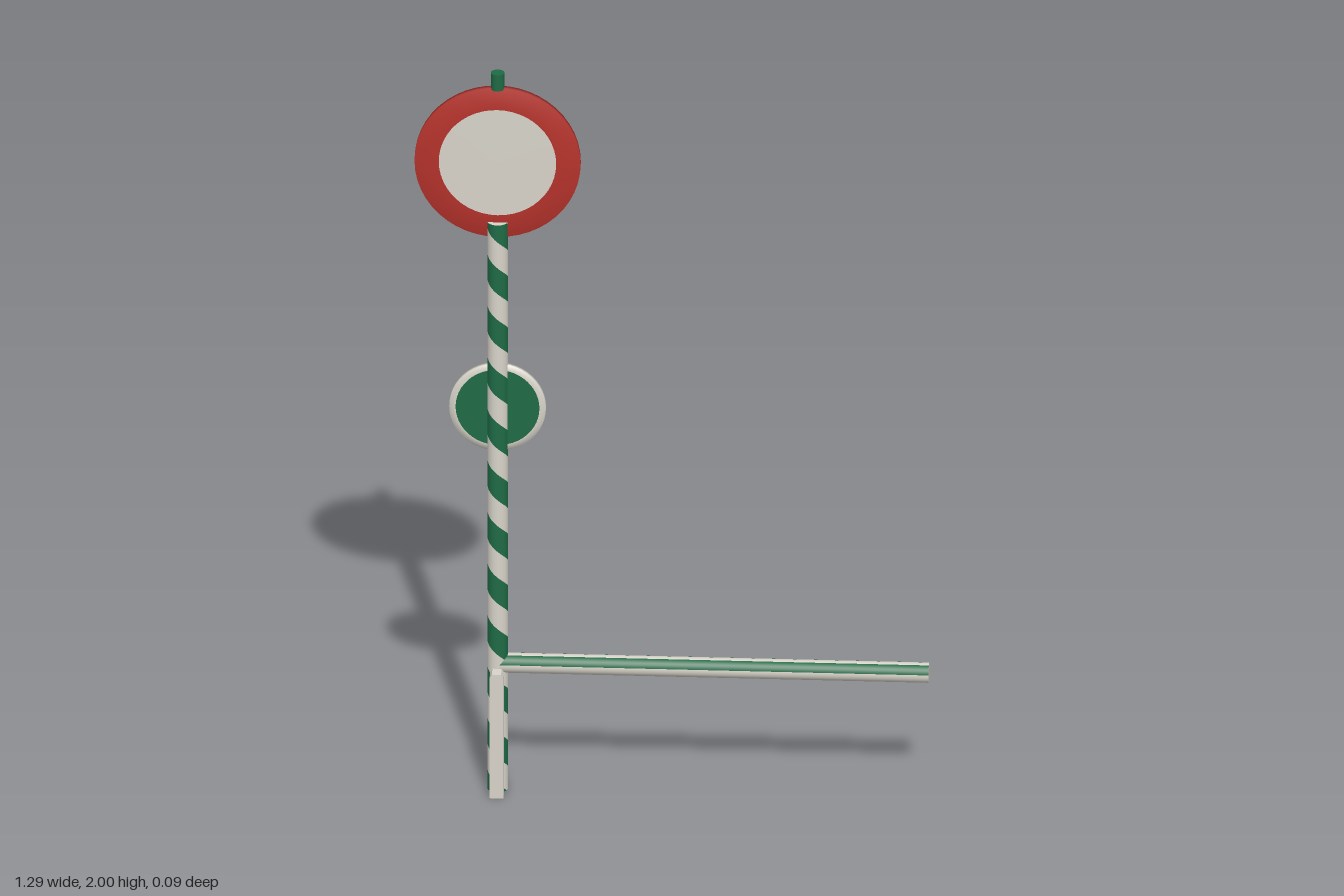
import * as THREE from 'three';

const material = (name, color) => {
  const m = new THREE.MeshStandardMaterial({ color });
  m.name = name;
  return m;
};
const v = (x, y) => new THREE.Vector2(x, y);

export function createModel() {
  const green = material('green', 0x1f6b46);
  const white = material('white', 0xd8d4ca);
  const red = material('red', 0xb5322b);
  const group = new THREE.Group();
  const X = -0.438, Z = -0.018, R = 0.026, H = 1.585;

  const add = (name, geometry, mat, x = X, y = 0, z = Z, parent = group) => {
    const mesh = new THREE.Mesh(geometry, mat);
    mesh.name = name;
    mesh.position.set(x, y, z);
    parent.add(mesh);
    return mesh;
  };

  // Helical band wound around the pole, trimmed at both ends
  const PITCH = 0.1441, STEPS = 32, FRONT = 1.43;
  const helixBand = (phase) => {
    const pos = [], nor = [], idx = [];
    const count = STEPS * 13;
    const top = FRONT + 2 * PITCH + phase;
    for (let i = 0; i <= count; i++) {
      const a = (i / STEPS) * Math.PI * 2;
      const mid = top - (i / STEPS) * PITCH;
      for (const side of [1, -1]) {
        const y = THREE.MathUtils.clamp(mid + side * PITCH / 4, 0, H);
        pos.push(Math.sin(a) * R, y, Math.cos(a) * R);
        nor.push(Math.sin(a), 0, Math.cos(a));
      }
      if (i < count) {
        const k = i * 2;
        idx.push(k, k + 1, k + 2, k + 1, k + 3, k + 2);
      }
    }
    const g = new THREE.BufferGeometry();
    g.setAttribute('position', new THREE.Float32BufferAttribute(pos, 3));
    g.setAttribute('normal', new THREE.Float32BufferAttribute(nor, 3));
    g.setIndex(idx);
    return g;
  };

  // Striped pole with end caps
  add('poleGreenStripe', helixBand(0), green);
  add('poleWhiteStripe', helixBand(PITCH / 2), white);
  add('poleTopCap', new THREE.CircleGeometry(R, 32).rotateX(-Math.PI / 2), white, X, H);
  add('poleBottomCap', new THREE.CircleGeometry(R, 32).rotateX(Math.PI / 2), white);

  // Round signal disc: rim ring plus a face on each side
  const disc = (name, y, outer, inner, h, rimMat, faceMat) => {
    const sign = new THREE.Group();
    sign.name = name;
    sign.position.set(X, y, Z);
    group.add(sign);
    const rim = [v(inner, -h), v(outer, -h * 0.85), v(outer, h * 0.85), v(inner, h)];
    add('rim', new THREE.LatheGeometry(rim, 48).rotateX(Math.PI / 2), rimMat, 0, 0, 0, sign);
    for (const s of [1, -1]) {
      const face = new THREE.LatheGeometry([v(inner, h), v(0, h * 1.05)], 48);
      face.rotateX(s * Math.PI / 2);
      add(s > 0 ? 'frontFace' : 'backFace', face, faceMat, 0, 0, 0, sign);
    }
  };
  disc('upperDisc', 1.752, 0.208, 0.147, 0.0085, red, white);
  disc('lowerDisc', 1.067, 0.121, 0.105, 0.007, white, green);

  // Small cap on top of the upper disc
  add('topKnob', new THREE.CylinderGeometry(0.017, 0.017, 0.045, 16), green, X, 1.9775);

  // Horizontal arm, coloured in lengthwise strips (angles measured from straight up)
  const arm = new THREE.Group();
  arm.name = 'arm';
  arm.position.set(0.102, 0.351, Z);
  group.add(arm);
  const LENGTH = 1.08, ARM_R = 0.0255;
  const strip = (name, from, to, mat) => {
    const g = new THREE.CylinderGeometry(ARM_R, ARM_R, LENGTH, Math.ceil((to - from) / 12), 1, true,
      THREE.MathUtils.degToRad(from), THREE.MathUtils.degToRad(to - from));
    // Turn the zero angle from +z to +y, then lay the axis along x
    g.rotateX(-Math.PI / 2).rotateY(Math.PI / 2);
    add(name, g, mat, 0, 0, 0, arm);
  };
  strip('topStrip', -19, 19, white);
  strip('frontStrip', 19, 80, green);
  strip('bottomStrip', 80, 280, white);
  strip('backStrip', 280, 341, green);
  for (const s of [1, -1]) {
    const cap = new THREE.CircleGeometry(ARM_R, 30).rotateY(s * Math.PI / 2);
    add('armEnd', cap, white, s * LENGTH / 2, 0, 0, arm);
  }

  // Square post in front of the pole, with a chamfered top
  const W = 0.035, B = 0.006;
  const outline = new THREE.Shape([
    v(-W / 2, 0), v(W / 2, 0), v(W / 2, 0.333), v(W / 2 - B, 0.345),
    v(-W / 2 + B, 0.345), v(-W / 2, 0.333),
  ]);
  const post = new THREE.ExtrudeGeometry(outline, { depth: W, bevelEnabled: false });
  add('frontPost', post, white, X, 0, 0.006);

  return group;
}
